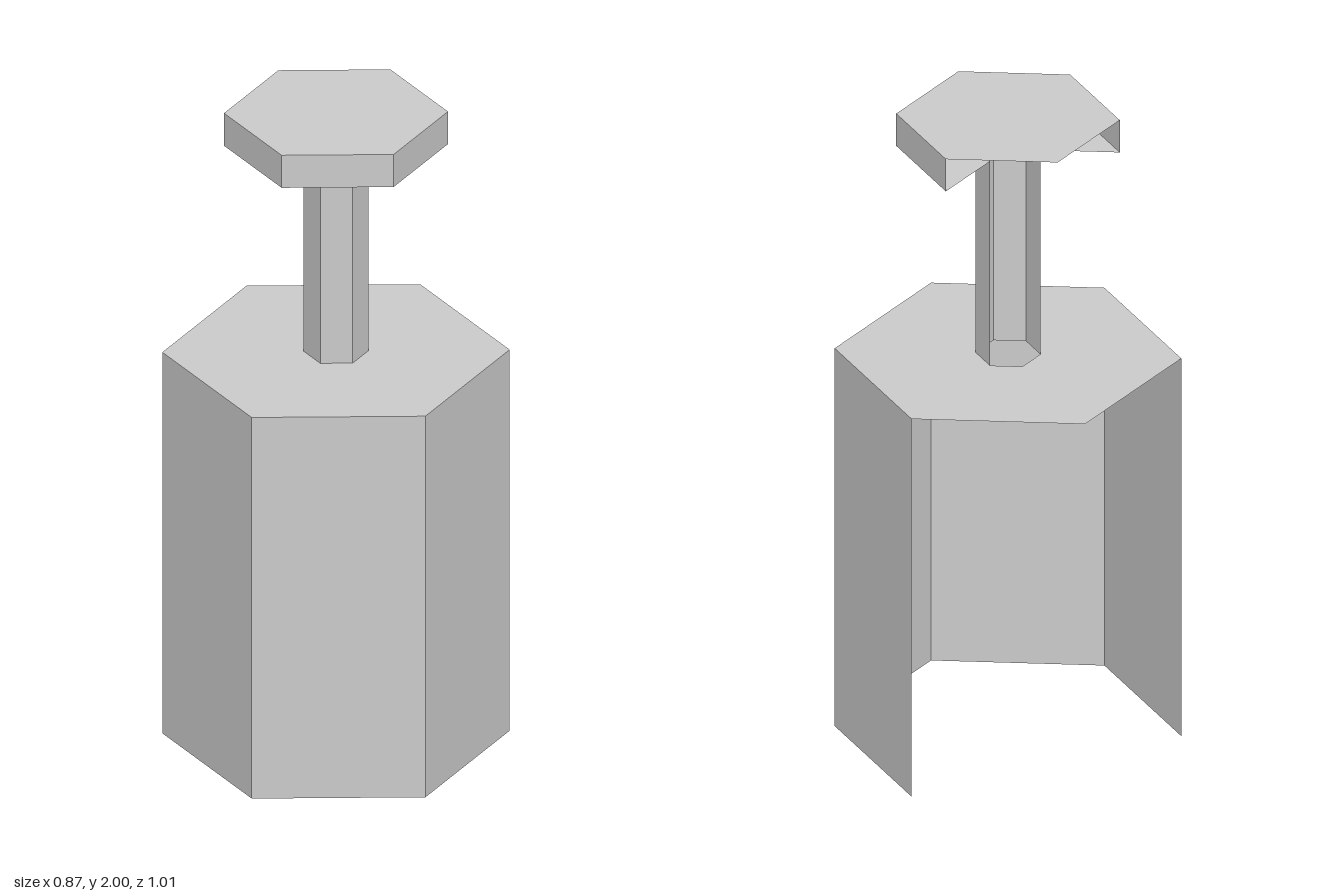
import * as THREE from 'three';

const SIDES = 6;
const BODY_R = 0.504, STEM_R = 0.094, KNOB_R = 0.325;
const BODY_TOP = 1.23, KNOB_BOTTOM = 1.895, TOP = 2;

export function createModel() {
  const model = new THREE.Group();
  const material = new THREE.MeshStandardMaterial({
    color: 0xcccccc, flatShading: true, side: THREE.DoubleSide,
  });

  const add = (name, geometry, y = 0) => {
    const mesh = new THREE.Mesh(geometry, material);
    mesh.name = name;
    mesh.position.y = y;
    model.add(mesh);
  };

  // Hexagonal shell with its two back panels left open
  const openShell = (...points) => new THREE.LatheGeometry(
    points.map(([r, y]) => new THREE.Vector2(r, y)),
    SIDES - 2, -Math.PI * 2 / 3, Math.PI * 4 / 3);

  // Full hexagon lying flat, with a corner pointing forward
  const flat = (geometry) => geometry.rotateX(-Math.PI / 2);

  // Body: four walls, open below, and a top plate with a hole under the stem
  add('bodyWalls', openShell([BODY_R, 0], [BODY_R, BODY_TOP]));
  add('bodyTop', flat(new THREE.RingGeometry(STEM_R, BODY_R, SIDES, 1, Math.PI / 2)), BODY_TOP);

  // Hollow stem
  add('stem', openShell([STEM_R, BODY_TOP], [STEM_R, KNOB_BOTTOM]));

  // Knob: underside and rim open at the back, closed top
  add('knobUnderside', openShell([STEM_R, KNOB_BOTTOM], [KNOB_R, KNOB_BOTTOM]));
  add('knobRim', openShell([KNOB_R, KNOB_BOTTOM], [KNOB_R, TOP]));
  add('knobTop', flat(new THREE.CircleGeometry(KNOB_R, SIDES, Math.PI / 2)), TOP);

  return model;
}
